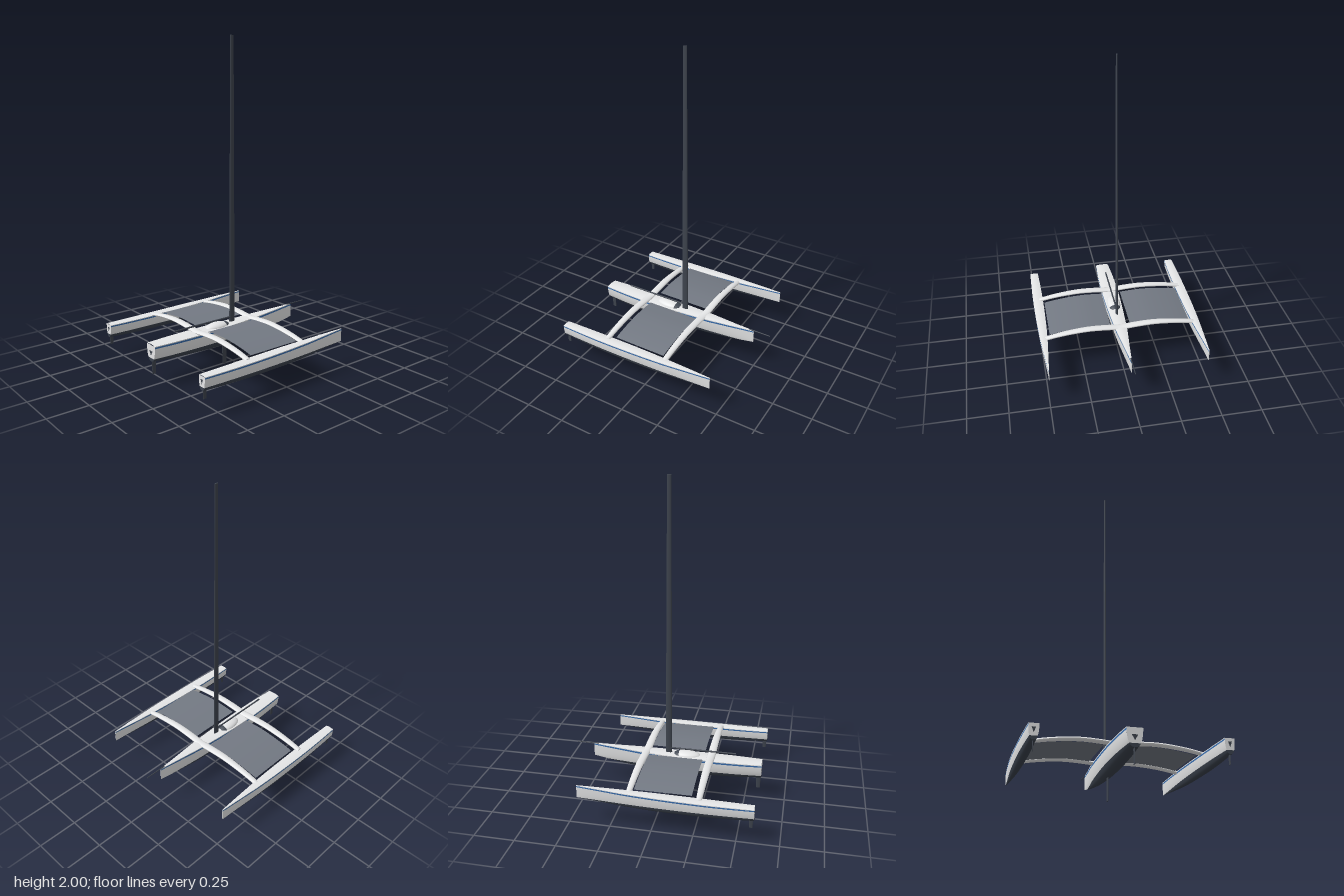
import * as THREE from 'three';

const mat = (name, color, side = THREE.FrontSide) => {
  const m = new THREE.MeshStandardMaterial({ color, side });
  m.name = name;
  return m;
};

// Skin a grid of points: rows of equal length
function loft(rows) {
  const n = rows[0].length, index = [];
  for (let i = 0; i < rows.length - 1; i++) {
    for (let j = 0; j < n - 1; j++) {
      const a = i * n + j, b = a + 1, c = a + n, d = c + 1;
      index.push(a, b, c, b, d, c);
    }
  }
  const g = new THREE.BufferGeometry();
  g.setAttribute('position', new THREE.Float32BufferAttribute(rows.flat(2), 3));
  g.setIndex(index);
  g.computeVertexNormals();
  return g;
}

// Arch of the cross beams and nets
const archCurve = new THREE.SplineCurve([
  [-0.485, 0.233], [-0.4, 0.25], [-0.3, 0.263], [-0.2, 0.269], [-0.1, 0.265], [0, 0.258],
  [0.1, 0.265], [0.2, 0.269], [0.3, 0.263], [0.4, 0.25], [0.485, 0.233],
].map(([x, y]) => new THREE.Vector2(x, y)));
const archPoints = archCurve.getPoints(120);
function archY(x) {
  const k = Math.max(1, archPoints.findIndex(p => p.x >= x));
  const a = archPoints[k - 1], b = archPoints[k];
  return a.y + (b.y - a.y) * (x - a.x) / (b.x - a.x);
}

export function createModel() {
  const model = new THREE.Group();
  const white = mat('hull white', 0xe6e7e8);
  const blue = mat('stripe blue', 0x3a6fb0);
  const bottomPaint = mat('bottom paint', 0x3a414c);
  const carbon = mat('carbon', 0x3e444e);
  const netGrey = mat('net grey', 0x737983, THREE.DoubleSide);
  const glass = mat('dark glass', 0x424954);

  const add = (name, geo, material, parent = model, x = 0, y = 0, z = 0) => {
    const m = new THREE.Mesh(geo, material);
    m.name = name;
    m.position.set(x, y, z);
    parent.add(m);
    return m;
  };

  // Hull from evenly spaced stations [half width, sheer, keel], stern to bow
  function hull(name, stations, zStern, zBow, x) {
    const group = new THREE.Group();
    group.name = name;
    group.position.x = x;
    model.add(group);
    const curve = new THREE.CatmullRomCurve3(stations.map(s => new THREE.Vector3(...s)));
    const N = 36, P = Math.PI, A = 0.05, B = 0.14, waterline = 0.17;
    const secs = Array.from({ length: N + 1 }, (_, i) => {
      const p = curve.getPoint(i / N);
      // wet: section angle at which the waterline is reached
      const wet = Math.asin(Math.min(1, (p.y - waterline) / (p.y - p.z)));
      return { w: p.x, top: p.y, keel: p.z, wet, z: zStern + (zBow - zStern) * i / N };
    });
    const point = (s, a) => {
      const c = Math.cos(a);
      return [s.w * Math.sign(c) * Math.abs(c) ** 0.7, s.top - (s.top - s.keel) * Math.sin(a), s.z];
    };
    const arc = (s, a0, a1, n) =>
      Array.from({ length: n + 1 }, (_, j) => point(s, a0 + (a1 - a0) * j / n));

    // Bands on both sides from deck edge to waterline, then the painted bottom
    for (const [part, from, to, n, material] of [
      ['sheerEdge', () => 0, () => A, 1, white],
      ['sheerStripe', () => A, () => B, 2, blue],
      ['topside', () => B, s => s.wet, 10, white],
    ]) {
      add(part, loft(secs.map(s => arc(s, from(s), to(s), n))), material, group);
      add(part, loft(secs.map(s => arc(s, P - to(s), P - from(s), n))), material, group);
    }
    add('bottom', loft(secs.map(s => arc(s, s.wet, P - s.wet, 16))), bottomPaint, group);

    // Cambered deck
    add('deck', loft(secs.map(s => [-1, -0.5, 0, 0.5, 1].map(
      k => [k * s.w, s.top + 0.12 * s.w * (1 - k * k), s.z]))), white, group);

    // Flat ends, split at the waterline
    const ends = (s, a0, a1) => [arc(s, P - a0, P - a1, 10), arc(s, a0, a1, 10)];
    const stern = secs[0], bow = secs[N];
    add('transom', loft(ends(stern, 0, stern.wet)), white, group);
    add('transomBottom', loft(ends(stern, stern.wet, P / 2)), bottomPaint, group);
    add('stem', loft(ends(bow, 0, P / 2).reverse()), white, group);

    // Small rudder bracket on the transom
    const r = stern.w * 0.4;
    const bracket = new THREE.Shape([[-r, 0.214], [0, 0.185], [r, 0.214]].map(p => new THREE.Vector2(...p)));
    add('rudderBracket', new THREE.ShapeGeometry(bracket), carbon, group, 0, 0, zStern + 0.001);
  }

  hull('mainHull', [
    [0.043, 0.25, 0.15], [0.052, 0.251, 0.138], [0.055, 0.252, 0.131], [0.052, 0.254, 0.127],
    [0.045, 0.257, 0.13], [0.035, 0.262, 0.14], [0.018, 0.267, 0.158], [0.002, 0.273, 0.185],
  ], 0.6, -0.49, 0);
  for (const side of [1, -1]) {
    hull(side > 0 ? 'leftFloat' : 'rightFloat', [
      [0.027, 0.232, 0.15], [0.031, 0.232, 0.142], [0.033, 0.233, 0.138], [0.032, 0.235, 0.138],
      [0.029, 0.238, 0.14], [0.023, 0.241, 0.147], [0.013, 0.246, 0.158], [0.002, 0.25, 0.17],
    ], 0.6, -0.45, side * 0.495);
  }

  // Arched cross beams, oval in section, slimmer at the tips
  const path = new THREE.CatmullRomCurve3(
    archPoints.filter((_, i) => i % 4 === 0).map(p => new THREE.Vector3(p.x, p.y, 0)));
  for (const [name, z] of [['frontBeam', -0.135], ['rearBeam', 0.28]]) {
    const geo = new THREE.TubeGeometry(path, 60, 0.0105, 14);
    const pos = geo.attributes.position;
    for (let i = 0; i < pos.count; i++) {
      const t = Math.abs(pos.getX(i)) / 0.485;
      pos.setZ(i, pos.getZ(i) * (2.4 - 0.75 * t * t));
    }
    geo.computeVertexNormals();
    add(name, geo, white, model, 0, 0, z);
    for (const side of [1, -1]) {
      const cap = add('beamTip', new THREE.SphereGeometry(0.0105, 14, 10), white, model, side * 0.485, 0.233, z);
      cap.scale.set(0.4, 1, 1.65);
    }
  }

  // Nets follow the arch
  for (const side of [1, -1]) {
    const geo = new THREE.PlaneGeometry(0.392, 0.345, 20, 1).rotateX(-Math.PI / 2)
      .translate(side * 0.259, 0, 0.0625);
    const pos = geo.attributes.position;
    for (let i = 0; i < pos.count; i++) pos.setY(i, archY(pos.getX(i)));
    geo.computeVertexNormals();
    add(side > 0 ? 'leftNet' : 'rightNet', geo, netGrey);
  }

  // Cabin pod with a wraparound windscreen
  const pod = add('cabinPod', new THREE.SphereGeometry(1, 32, 20), white, model, 0, 0.252, 0.123);
  pod.scale.set(0.044, 0.028, 0.089);
  const screen = add('windscreen', new THREE.SphereGeometry(1, 32, 8, 0, Math.PI * 2, 0.5, 0.5)
    .rotateX(-Math.PI / 2), glass, model, 0, 0.252, 0.123);
  screen.scale.set(0.0447, 0.0288, 0.0897);

  // Wing mast, boom and bowsprit
  add('mast', new THREE.CylinderGeometry(0.0125, 0.021, 1.75, 16).scale(0.35, 1, 1),
    carbon, model, 0, 1.125, 0.007);
  add('boom', new THREE.CylinderGeometry(0.005, 0.005, 0.435, 12).rotateX(Math.PI / 2),
    carbon, model, 0, 0.292, 0.2175);
  add('bowsprit', new THREE.CylinderGeometry(0.004, 0.003, 0.14, 10).rotateX(Math.PI / 2),
    carbon, model, 0, 0.274, -0.53);

  // Daggerboard and rudders: thin tapered foils
  const foil = (name, x, z, yTop, yTip, chord) =>
    add(name, new THREE.CylinderGeometry(chord / 2, chord * 0.4, yTop - yTip, 16).scale(0.17, 1, 1),
      carbon, model, x, (yTop + yTip) / 2, z);
  foil('daggerboard', 0, 0.067, 0.15, 0, 0.038);
  foil('mainRudder', 0, 0.582, 0.17, 0.07, 0.03);
  for (const side of [1, -1]) foil('floatRudder', side * 0.495, 0.582, 0.17, 0.1, 0.026);

  return model;
}
